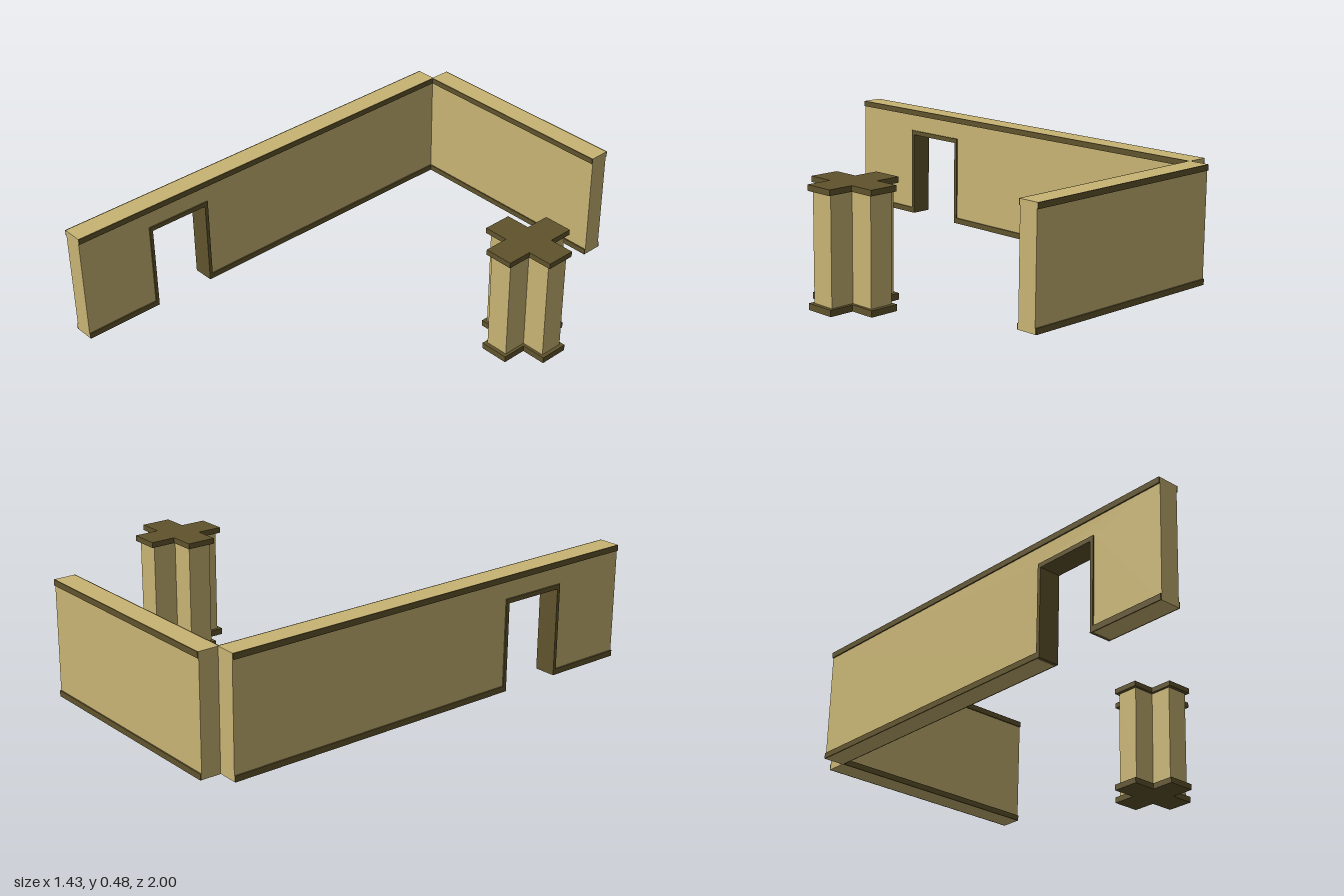
import * as THREE from 'three';

const H = 0.48;           // wall height
const CORE = 0.082;       // wall thickness
const TRIM = 0.0055;      // how far the trim stands out
const TRIM_H = 0.024;     // trim height

export function createModel() {
  const wallMat = new THREE.MeshStandardMaterial({ color: 0xc8b474 });
  wallMat.name = 'sandPlaster';
  const trimMat = new THREE.MeshStandardMaterial({ color: 0x60532c });
  trimMat.name = 'darkWoodTrim';

  const model = new THREE.Group();
  model.name = 'wallsAndPillar';

  const add = (parent, name, geometry, material, x = 0, y = 0, z = 0) => {
    const mesh = new THREE.Mesh(geometry, material);
    mesh.name = name;
    mesh.position.set(x, y, z);
    parent.add(mesh);
    return mesh;
  };

  // Extrudes an outline along z, centred on its thickness
  const slab = (points, depth) => {
    const shape = new THREE.Shape(points.map(([x, y]) => new THREE.Vector2(x, y)));
    const g = new THREE.ExtrudeGeometry(shape, { depth, bevelEnabled: false });
    return g.translate(0, 0, -depth / 2);
  };

  // Trim strip on both faces of a wall that runs along x
  const addTrim = (parent, name, x0, x1, y) => {
    for (const side of [-1, 1]) {
      add(parent, name, new THREE.BoxGeometry(x1 - x0, TRIM_H, TRIM), trimMat,
        (x0 + x1) / 2, y, side * (CORE + TRIM) / 2);
    }
  };
  const LOW = TRIM_H / 2, HIGH = H - TRIM_H / 2;

  // Back wall
  const backWall = new THREE.Group();
  backWall.name = 'backWall';
  backWall.position.z = -0.9535;
  const bx0 = -0.631, bx1 = 0.324;
  add(backWall, 'backWallCore', new THREE.BoxGeometry(bx1 - bx0, H, CORE), wallMat,
    (bx0 + bx1) / 2, H / 2, 0);
  addTrim(backWall, 'backWallBaseTrim', bx0, bx1, LOW);
  addTrim(backWall, 'backWallTopTrim', bx0, bx1, HIGH);
  model.add(backWall);

  // Side wall, built along x and then turned so that its length runs along z
  const sideWall = new THREE.Group();
  sideWall.name = 'sideWall';
  sideWall.position.x = -0.672;
  sideWall.rotation.y = -Math.PI / 2;
  const s0 = -0.914, s1 = 1;
  const d0 = 0.378, d1 = 0.671, dTop = 0.385;   // doorway with frame
  const i0 = 0.393, i1 = 0.657, iTop = 0.366;   // clear opening
  add(sideWall, 'sideWallCore', slab([
    [s0, 0], [d0, 0], [d0, dTop], [d1, dTop], [d1, 0], [s1, 0], [s1, H], [s0, H],
  ], CORE), wallMat);
  addTrim(sideWall, 'sideWallBaseTrim', s0, d0, LOW);
  addTrim(sideWall, 'sideWallBaseTrim', d1, s1, LOW);
  addTrim(sideWall, 'sideWallTopTrim', s0, s1, HIGH);
  add(sideWall, 'doorFrame', slab([
    [d0, 0], [i0, 0], [i0, iTop], [i1, iTop], [i1, 0], [d1, 0], [d1, dTop], [d0, dTop],
  ], CORE + 2 * TRIM), trimMat);
  model.add(sideWall);

  // Cross-shaped pillar: r is the arm reach, w half the arm width
  const cross = (r, w, height) => slab([
    [w, -r], [w, -w], [r, -w], [r, w], [w, w], [w, r],
    [-w, r], [-w, w], [-r, w], [-r, -w], [-w, -w], [-w, -r],
  ], height).rotateX(-Math.PI / 2);

  const pillar = new THREE.Group();
  pillar.name = 'pillar';
  pillar.position.set(0.548, 0, -0.281);
  const base = 0.026, capBottom = 0.453, capTop = 0.476;
  add(pillar, 'pillarShaft', cross(0.152, 0.05, capBottom - base), wallMat,
    0, (base + capBottom) / 2, 0);
  add(pillar, 'pillarBase', cross(0.168, 0.062, base), trimMat, 0, base / 2, 0);
  add(pillar, 'pillarCap', cross(0.168, 0.062, capTop - capBottom), trimMat,
    0, (capTop + capBottom) / 2, 0);
  model.add(pillar);

  return model;
}
